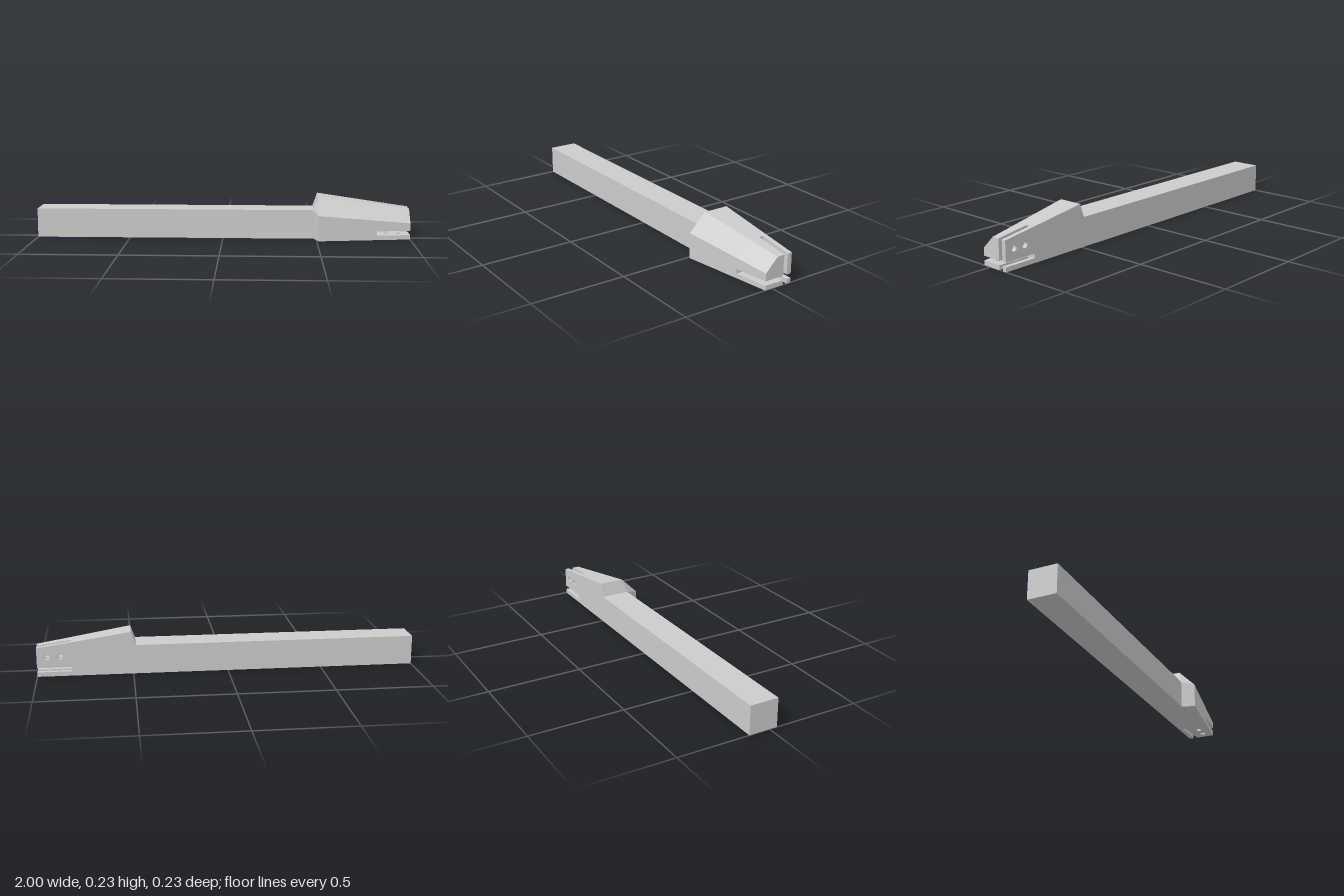
import * as THREE from 'three';

const W = 0.155;              // shaft width, also head width at the tip
const X0 = 0.485, X1 = 0.51;  // shoulder
const XS = 0.82;              // root of the slots
const S0 = 0.024, S1 = 0.047; // both slots run from S0 to S1
const WS = 0.181, CS = 0.105; // head width and chamfer start at slot root
const HOLES = [0.948, 0.88], HOLE_T = 0.105, HOLE_R = 0.016;

const mat = new THREE.MeshStandardMaterial({ color: 0xcccccc, flatShading: true });
const matDouble = new THREE.MeshStandardMaterial({ color: 0xcccccc, flatShading: true, side: THREE.DoubleSide });
const matSmooth = new THREE.MeshStandardMaterial({ color: 0xcccccc, side: THREE.DoubleSide });

function mesh(name, geometry, material = mat) {
  const m = new THREE.Mesh(geometry, material);
  m.name = name;
  return m;
}

// Chamfered section as [z, y] corners; inner corner at (o, o)
const section = (x, w, c, o = 0) => ({ x, pts: [[o, o], [w, o], [w, c], [c, w], [o, w]] });

// Joins sections along x, caps both ends, leaves the listed sides open
function loft(sections, open = []) {
  const pos = [];
  const v = (s, j) => new THREE.Vector3(s.x, s.pts[j][1], s.pts[j][0]);
  const tri = (a, b, c) => {
    const area = b.clone().sub(a).cross(c.clone().sub(a)).length();
    if (area > 1e-9) for (const p of [a, b, c]) pos.push(p.x, p.y, p.z);
  };
  const n = sections[0].pts.length;
  for (let i = 0; i < sections.length - 1; i++) {
    const s = sections[i], t = sections[i + 1];
    for (let j = 0; j < n; j++) {
      if (open.includes(j)) continue;
      const k = (j + 1) % n;
      tri(v(s, j), v(t, j), v(s, k));
      tri(v(s, k), v(t, j), v(t, k));
    }
  }
  const first = sections[0], last = sections[sections.length - 1];
  for (let j = 1; j < n - 1; j++) {
    tri(v(first, 0), v(first, j), v(first, j + 1));
    tri(v(last, 0), v(last, j + 1), v(last, j));
  }
  const g = new THREE.BufferGeometry();
  g.setAttribute('position', new THREE.Float32BufferAttribute(pos, 3));
  g.computeVertexNormals();
  return g;
}

// Tapered outline with the two pin holes
function drilledShape() {
  const s = new THREE.Shape();
  s.moveTo(XS, S1).lineTo(1, S1).lineTo(1, W).lineTo(XS, WS).closePath();
  for (const x of HOLES) s.holes.push(new THREE.Path().absarc(x, HOLE_T, HOLE_R, 0, Math.PI * 2, true));
  return s;
}

// Flat face with blind pin holes; dir is the local z direction of drilling
function drilledFace(dir) {
  const g = new THREE.Group();
  const depth = 0.035;
  g.name = 'drilledFace';
  g.add(mesh('innerFace', new THREE.ShapeGeometry(drilledShape(), 12), matDouble));
  for (const x of HOLES) {
    const wall = mesh('pinHoleWall', new THREE.CylinderGeometry(HOLE_R, HOLE_R, depth, 24, 1, true), matSmooth);
    wall.rotation.x = Math.PI / 2;
    wall.position.set(x, HOLE_T, dir * depth / 2);
    const floor = mesh('pinHoleFloor', new THREE.CircleGeometry(HOLE_R, 24), matDouble);
    floor.position.set(x, HOLE_T, dir * depth);
    g.add(wall, floor);
  }
  return g;
}

export function createModel() {
  const model = new THREE.Group();
  model.name = 'slottedBar';
  const body = new THREE.Group();
  body.name = 'body';
  body.position.z = -0.113;
  model.add(body);

  // Long square shaft
  const shaft = mesh('shaft', new THREE.BoxGeometry(X0 + 1, W, W));
  shaft.position.set((X0 - 1) / 2, W / 2, W / 2);
  body.add(shaft);

  // Shoulder and tapering chamfered head up to the slots
  body.add(mesh('head', loft([
    section(X0, W, W), section(X1, 0.227, 0.135), section(XS, WS, CS),
  ])));

  // Tip split into four prongs by the crossed slots
  const corner = mesh('cornerProng', new THREE.BoxGeometry(1 - XS, S0, S0));
  corner.position.set((1 + XS) / 2, S0 / 2, S0 / 2);
  body.add(corner);

  body.add(mesh('mainProng', loft([
    section(XS, WS, CS, S1), section(1, W, 0.087, S1),
  ], [0, 4])));
  const backFace = drilledFace(1);
  backFace.position.z = S1;
  const bottomFace = drilledFace(-1);
  bottomFace.rotation.x = Math.PI / 2;
  bottomFace.position.y = S1;
  body.add(backFace, bottomFace);

  const plate = new THREE.ExtrudeGeometry(drilledShape(), { depth: S0, bevelEnabled: false, curveSegments: 12 });
  const backProng = mesh('backProng', plate);
  const bottomProng = mesh('bottomProng', plate);
  bottomProng.rotation.x = Math.PI / 2;
  bottomProng.position.y = S0;
  body.add(backProng, bottomProng);

  return model;
}
